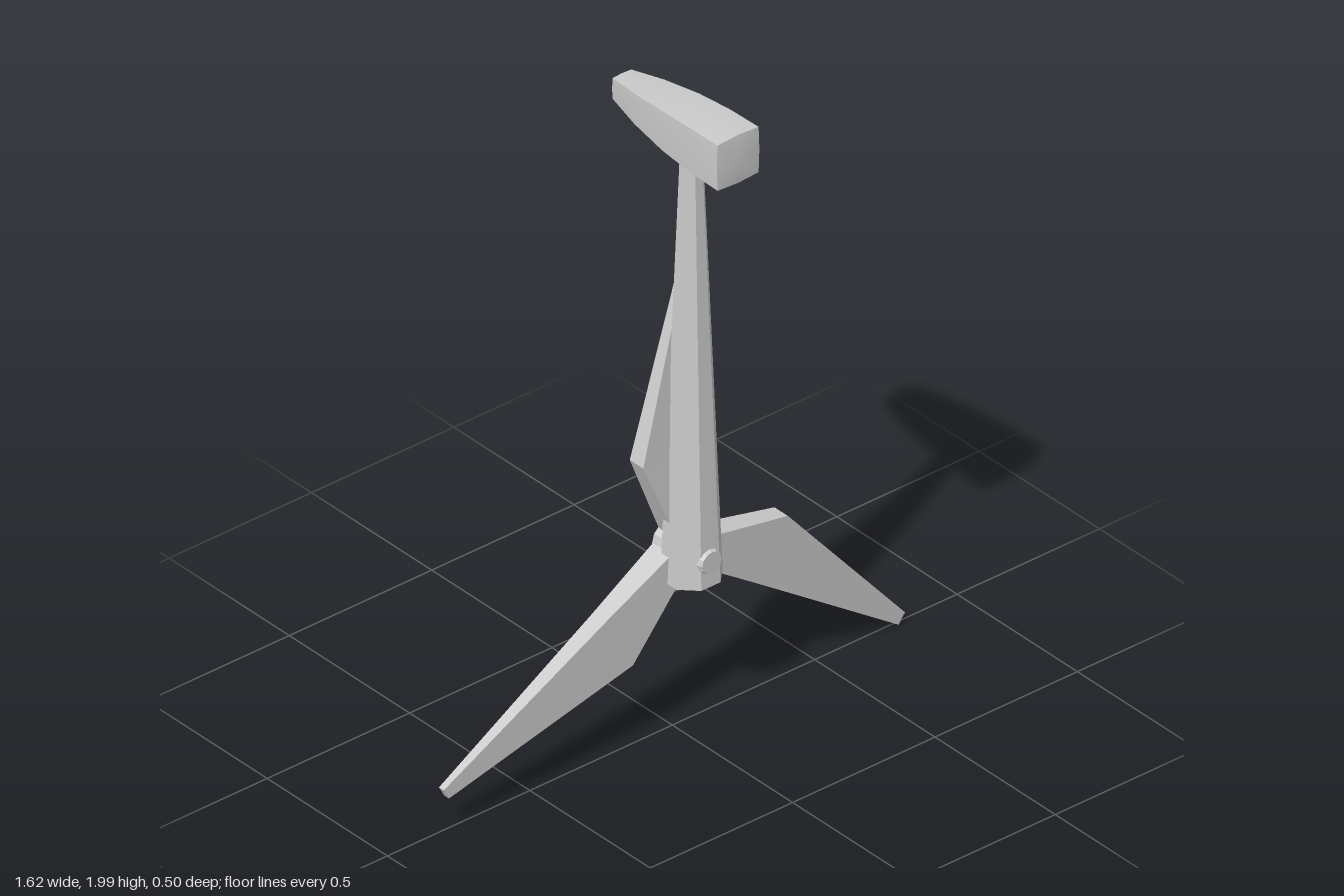
import * as THREE from 'three';
import { toCreasedNormals } from 'three/addons/utils/BufferGeometryUtils.js';

const V = (x, y, z) => new THREE.Vector3(x, y, z);

// Joins rings of points (counter-clockwise seen from the end they advance to) and caps both ends.
function loft(rings, crease, bulge = V(0, 0, 0)) {
  const n = rings[0].length;
  const pos = [];
  const tri = (...pts) => pts.forEach((p) => pos.push(p.x, p.y, p.z));
  const centre = (r) => r.reduce((s, p) => s.add(p), V(0, 0, 0)).divideScalar(n);
  const first = rings[0], last = rings[rings.length - 1];
  const c0 = centre(first).sub(bulge), c1 = centre(last).add(bulge);
  for (let j = 0; j < n; j++) {
    const k = (j + 1) % n;
    for (let i = 0; i < rings.length - 1; i++) {
      const a = rings[i], b = rings[i + 1];
      tri(a[j], a[k], b[k]);
      tri(a[j], b[k], b[j]);
    }
    tri(c0, first[k], first[j]);
    tri(c1, last[j], last[k]);
  }
  const g = new THREE.BufferGeometry();
  g.setAttribute('position', new THREE.Float32BufferAttribute(pos, 3));
  g.computeVertexNormals();
  return toCreasedNormals(g, crease);
}

export function createModel() {
  const model = new THREE.Group();
  const grey = new THREE.MeshStandardMaterial({ color: 0xcccccc });
  const flat = new THREE.MeshStandardMaterial({ color: 0xcccccc, flatShading: true });
  const add = (parent, name, geometry, material) => {
    const mesh = new THREE.Mesh(geometry, material);
    mesh.name = name;
    parent.add(mesh);
    return mesh;
  };

  // Tapered eight-sided tower with a flat towards the front
  const towerShape = new THREE.CylinderGeometry(0.032, 0.088, 1.37, 8);
  towerShape.rotateY(Math.PI / 8);
  add(model, 'tower', towerShape, flat).position.set(0.03, 1.185, 0.044);

  // Nacelle: a softly bulged box narrowing to the back; rows are z, half width, half height
  const corners = [[1, -0.94], [1.04, 0], [1, 0.94], [0, 1], [-1, 0.94], [-1.04, 0], [-1, -0.94], [0, -1]];
  const sections = [
    [-0.245, 0.033, 0.035], [-0.13, 0.053, 0.052], [0, 0.066, 0.067],
    [0.12, 0.071, 0.075], [0.238, 0.072, 0.077],
  ].map(([z, w, h]) => corners.map(([u, v]) => V(0.03 + u * w, 1.923 + v * h, z)));
  add(model, 'nacelle', loft(sections, 0.6, V(0, 0, 0.01)), grey);

  // Rotor: hub and three blades
  const rotor = new THREE.Group();
  rotor.name = 'rotor';
  rotor.position.set(0.028, 0.58, 0);
  model.add(rotor);

  const profile = [[0, -0.037], [0.07, -0.037], [0.065, 0.04], [0.034, 0.132], [0, 0.132]];
  const hubShape = new THREE.LatheGeometry(profile.map(([r, y]) => new THREE.Vector2(r, y)), 12);
  hubShape.rotateX(Math.PI / 2);
  add(rotor, 'hub', hubShape, flat);

  // Blade sections: [x, y] of trailing edge, [x, y] of leading edge, half thickness
  const bladeShape = loft([
    [0.03, -0.04, 0.03, 0.04, 0.04],
    [0.311, -0.033, 0.311, 0.169, 0.028],
    [0.947, -0.019, 0.947, 0.019, 0.01],
  ].map(([xa, ya, xb, yb, t]) => [
    V(xa, ya, -t), V(xb, yb, -t), V(xb, yb, t), V(xa, ya, t),
  ]), 0.2);
  [-36, 87.8, 208.4].forEach((angle) => {
    const blade = add(rotor, 'blade', bladeShape, flat);
    blade.rotation.z = THREE.MathUtils.degToRad(angle);
    blade.position.z = 0.004;
  });

  return model;
}
